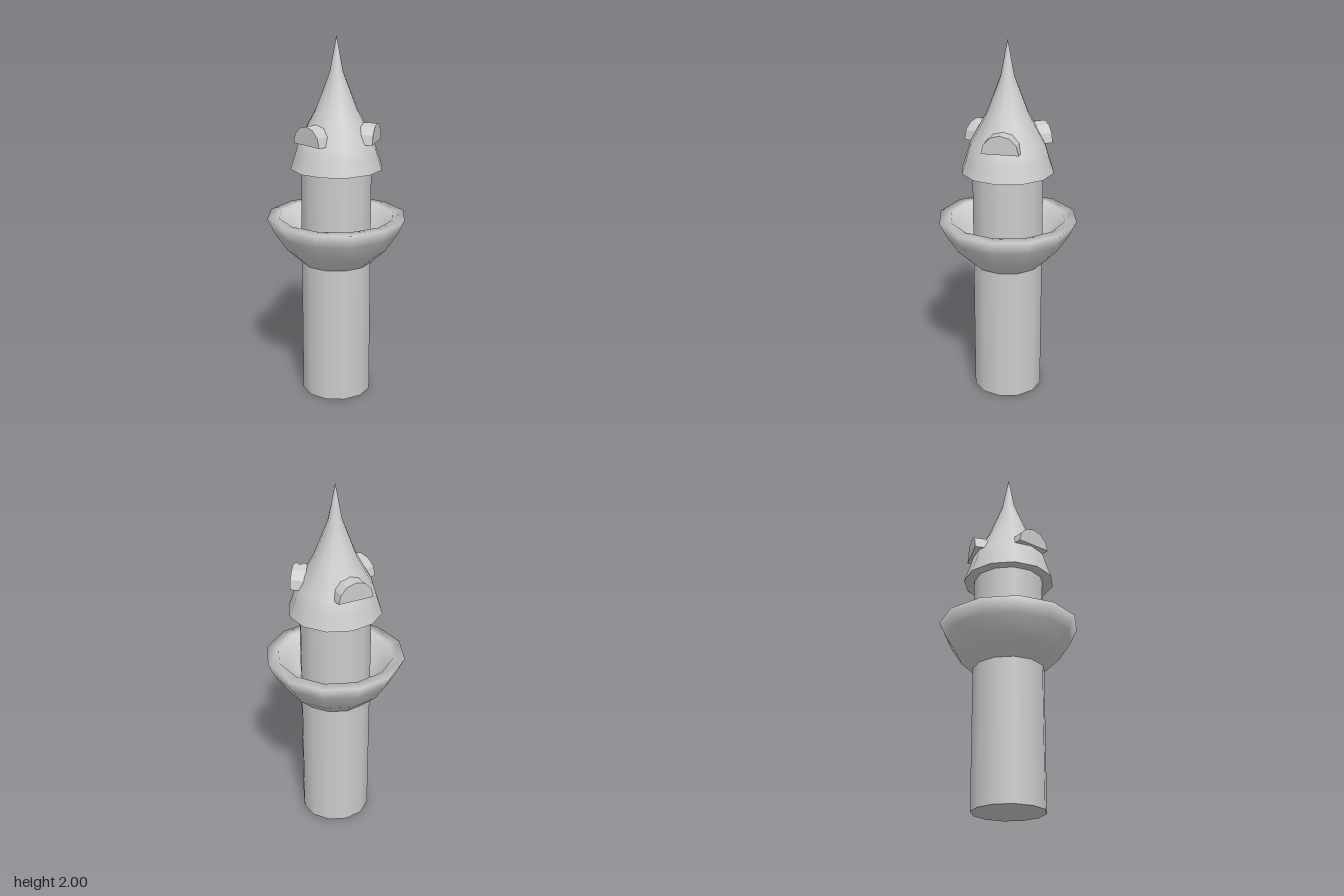
import * as THREE from 'three';

const SIDES = 12;
const material = new THREE.MeshStandardMaterial({ color: 0xcccccc, side: THREE.DoubleSide });

function addPart(parent, name, geometry) {
  const mesh = new THREE.Mesh(geometry, material);
  mesh.name = name;
  parent.add(mesh);
  return mesh;
}

// Turned shape from [radius, height] pairs
function turned(profile) {
  return new THREE.LatheGeometry(profile.map(([r, y]) => new THREE.Vector2(r, y)), SIDES);
}

export function createModel() {
  const tower = new THREE.Group();
  tower.name = 'tower';

  // Shaft running up into the roof
  const shaft = addPart(tower, 'shaft', new THREE.CylinderGeometry(0.195, 0.195, 1.32, SIDES));
  shaft.position.y = 0.66;

  // Flared balcony: outer wall, flat rim, then hollow inner wall
  addPart(tower, 'balcony', turned([
    [0.194, 0.77], [0.28, 0.85], [0.345, 0.95], [0.383, 1.03],
    [0.318, 1.03], [0.285, 0.96], [0.19, 0.87],
  ]));

  // Concave pointed roof with a flat underside
  addPart(tower, 'roof', turned([
    [0.253, 1.3], [0.229, 1.37], [0.205, 1.45], [0.115, 1.61], [0.037, 1.81], [0, 2],
  ]));
  const underside = addPart(tower, 'roofUnderside', new THREE.RingGeometry(0.18, 0.253, SIDES));
  underside.rotation.x = Math.PI / 2;
  underside.position.y = 1.3;

  // Three half-round dormers set into the roof
  const arch = new THREE.Shape();
  arch.absarc(0, 0, 0.1, 0, Math.PI, false);
  const dormerGeometry = new THREE.ExtrudeGeometry(arch, {
    depth: 0.12, bevelEnabled: false, curveSegments: 3,
  });
  dormerGeometry.translate(0.006, 1.45, 0.1);
  [0, 121, -113].forEach((degrees, i) => {
    const dormer = addPart(tower, `dormer${i + 1}`, dormerGeometry);
    dormer.rotation.y = THREE.MathUtils.degToRad(degrees);
  });

  return tower;
}
